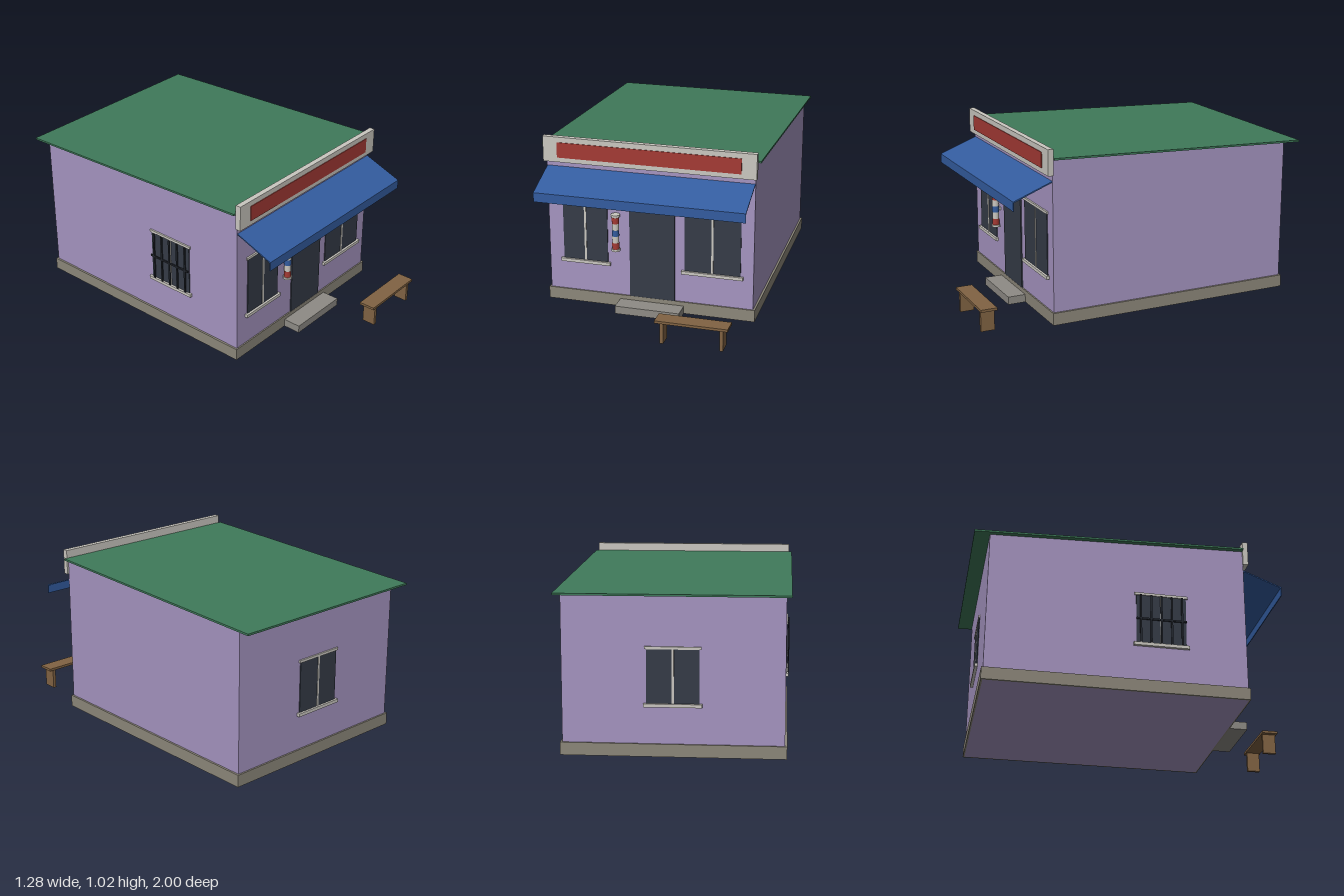
import * as THREE from 'three';

export function createModel() {
  const model = new THREE.Group();
  model.name = 'smallShop';

  const mat = (name, color) => {
    const m = new THREE.MeshStandardMaterial({ color });
    m.name = name;
    return m;
  };
  const lilac = mat('lilac wall', 0xa594c0);
  const stone = mat('plinth stone', 0x8c877a);
  const concrete = mat('step concrete', 0x8e8b85);
  const green = mat('roof green', 0x3f7a5a);
  const blue = mat('awning blue', 0x335c9f);
  const red = mat('sign red', 0xa43a34);
  const trim = mat('trim off-white', 0xcac7c0);
  const glass = mat('dark glass', 0x353b47);
  const wood = mat('bench wood', 0x816343);
  const iron = mat('iron bars', 0x23272f);

  const add = (parent, name, geometry, material) => {
    const mesh = new THREE.Mesh(geometry, material);
    mesh.name = name;
    parent.add(mesh);
    return mesh;
  };
  const group = (name, parent = model) => {
    const g = new THREE.Group();
    g.name = name;
    parent.add(g);
    return g;
  };
  // Box given by its limits on each axis
  const box = (parent, name, material, [x0, x1], [y0, y1], [z0, z1]) => {
    const mesh = add(parent, name, new THREE.BoxGeometry(x1 - x0, y1 - y0, z1 - z0), material);
    mesh.position.set((x0 + x1) / 2, (y0 + y1) / 2, (z0 + z1) / 2);
    return mesh;
  };
  // Side profile of (z, y) points, stretched across the width
  const profile = (name, material, points, halfWidth) => {
    const shape = new THREE.Shape(points.map(([z, y]) => new THREE.Vector2(z, y)));
    const geo = new THREE.ExtrudeGeometry(shape, { depth: halfWidth * 2, bevelEnabled: false });
    geo.translate(0, 0, -halfWidth).rotateY(-Math.PI / 2);
    return add(model, name, geo, material);
  };

  // Building shell with a roof sloping down to the back
  profile('walls', lilac, [[-0.91, 0], [0.585, 0], [0.585, 0.957], [-0.91, 0.904]], 0.612);
  profile('roof', green, [[-1, 0.901], [0.583, 0.957], [0.583, 0.968], [-1, 0.912]], 0.64);

  // Plinth ring around the foot of the walls
  const ring = new THREE.Shape([[-0.624, -0.92], [0.624, -0.92], [0.624, 0.593], [-0.624, 0.593]]
    .map(([x, z]) => new THREE.Vector2(x, -z)));
  ring.holes.push(new THREE.Path([[-0.611, -0.909], [0.611, -0.909], [0.611, 0.584], [-0.611, 0.584]]
    .map(([x, z]) => new THREE.Vector2(x, -z))));
  const ringGeo = new THREE.ExtrudeGeometry(ring, { depth: 0.072, bevelEnabled: false });
  add(model, 'plinth', ringGeo.rotateX(-Math.PI / 2), stone);
  box(model, 'doorStep', concrete, [-0.18, 0.205], [0, 0.047], [0.593, 0.7]);

  // Sign board above the front
  const sign = group('sign');
  box(sign, 'signBoard', trim, [-0.623, 0.623], [0.867, 1.016], [0.583, 0.615]);
  box(sign, 'signPanel', red, [-0.538, 0.538], [0.895, 0.985], [0.613, 0.619]);

  // Sloping awning with hanging valance
  profile('awning', blue, [
    [0.585, 0.827], [0.811, 0.739], [0.811, 0.69], [0.816, 0.69], [0.816, 0.745], [0.585, 0.834],
  ], 0.61);

  // Door
  const door = group('door');
  box(door, 'doorPanel', glass, [-0.12, 0.15], [0.072, 0.63], [0.583, 0.592]);
  box(door, 'doorLintel', trim, [-0.135, 0.162], [0.63, 0.646], [0.583, 0.598]);

  // Window facing +z, with its centre line at the local origin on the wall face
  const makeWindow = (name, width, y0, y1) => {
    const w = group(name);
    const h = width / 2;
    box(w, 'pane', glass, [-h, h], [y0, y1], [-0.002, 0.005]);
    box(w, 'mullion', trim, [-0.006, 0.006], [y0, y1], [0, 0.008]);
    box(w, 'lintel', trim, [-h - 0.01, h + 0.01], [y1, y1 + 0.015], [-0.002, 0.01]);
    box(w, 'sill', trim, [-h - 0.016, h + 0.016], [y0 - 0.019, y0], [-0.002, 0.018]);
    return w;
  };
  makeWindow('frontRightWindow', 0.27, 0.27, 0.63).position.set(-0.388, 0, 0.585);
  makeWindow('frontLeftWindow', 0.33, 0.27, 0.63).position.set(0.372, 0, 0.585);

  const back = makeWindow('backWindow', 0.29, 0.299, 0.6);
  back.position.z = -0.91;
  back.rotation.y = Math.PI;

  // Side window with an iron grille
  const side = makeWindow('sideWindow', 0.29, 0.299, 0.6);
  side.position.set(-0.612, 0, 0.085);
  side.rotation.y = -Math.PI / 2;
  for (let i = 0; i < 5; i++) {
    const x = -0.12 + i * 0.06;
    box(side, 'grilleBar', iron, [x - 0.005, x + 0.005], [0.299, 0.6], [0.011, 0.019]);
  }
  box(side, 'grilleRail', iron, [-0.145, 0.145], [0.443, 0.453], [0.011, 0.019]);

  // Striped pole beside the door
  const pole = group('stripedPole');
  pole.position.set(-0.195, 0, 0.616);
  const drum = (name, material, r, y0, y1) => {
    add(pole, name, new THREE.CylinderGeometry(r, r, y1 - y0, 24), material).position.y = (y0 + y1) / 2;
  };
  drum('poleCore', trim, 0.02, 0.365, 0.58);
  drum('poleBottomCap', trim, 0.026, 0.36, 0.373);
  drum('poleTopCap', trim, 0.026, 0.57, 0.584);
  drum('lowerBand', red, 0.0208, 0.373, 0.412);
  drum('middleBand', blue, 0.0208, 0.453, 0.49);
  drum('upperBand', red, 0.0208, 0.53, 0.567);
  box(pole, 'poleBracket', trim, [-0.008, 0.008], [0.462, 0.48], [-0.032, -0.012]);

  // Bench in front
  const bench = group('bench');
  box(bench, 'benchSeat', wood, [0.148, 0.563], [0.123, 0.138], [0.903, 1]);
  for (const x of [0.187, 0.526]) {
    box(bench, 'benchLeg', wood, [x - 0.01, x + 0.01], [0, 0.123], [0.911, 0.992]);
  }

  return model;
}
